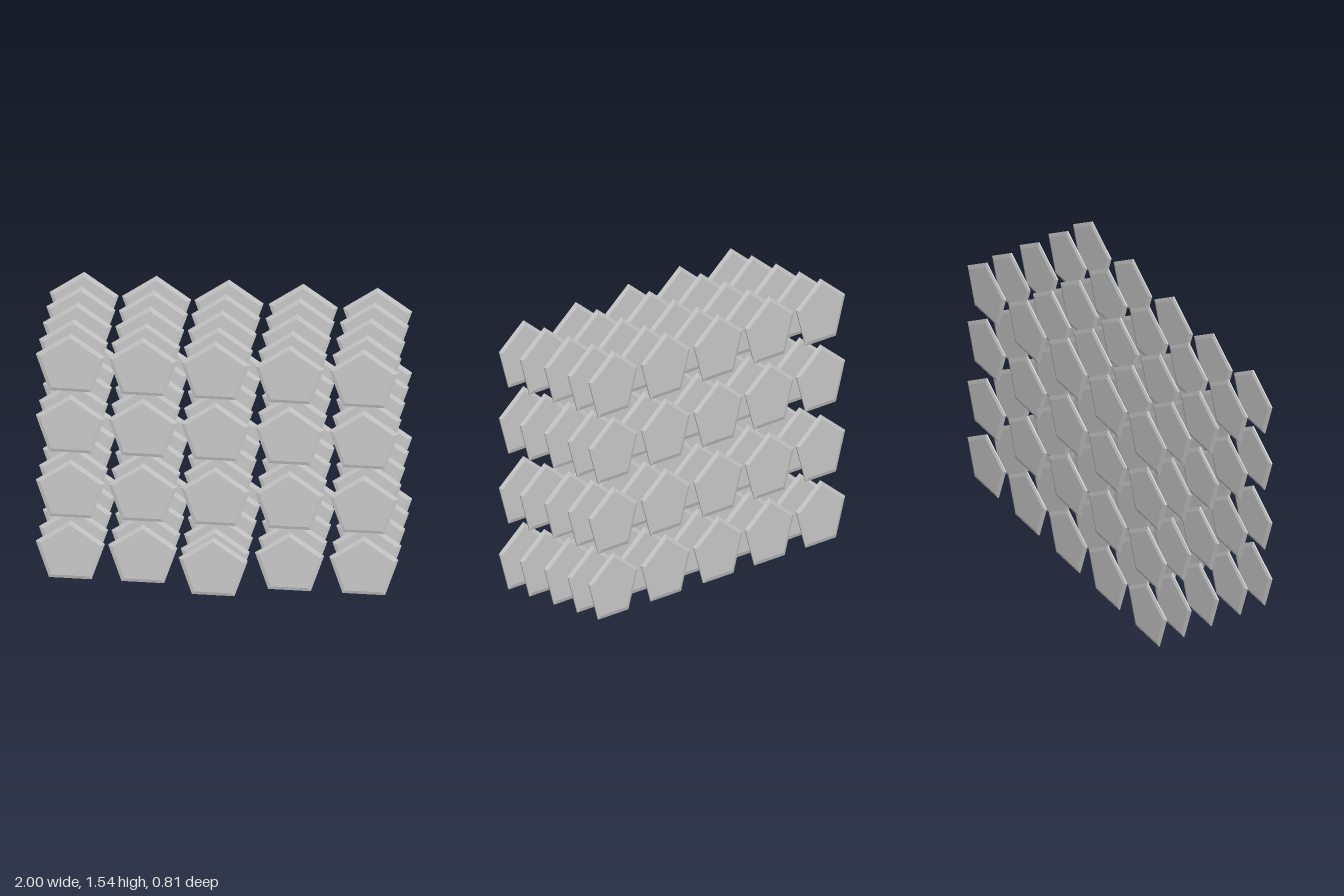
import * as THREE from 'three';

const RADIUS = 0.2;    // pentagon corner radius
const BEVEL = 0.025;   // corner inset of the flat faces
const HALF = 0.009;    // half thickness of the flat middle
const RIM = 0.003;     // half thickness of the outer rim

// Five-sided bevelled plate, one corner up, facing +z
function plateGeometry() {
  const profile = [
    [0, -HALF], [RADIUS - BEVEL, -HALF], [RADIUS, -RIM],
    [RADIUS, RIM], [RADIUS - BEVEL, HALF], [0, HALF],
  ].map(([r, y]) => new THREE.Vector2(r, y));
  const geometry = new THREE.LatheGeometry(profile, 5);
  geometry.rotateX(-Math.PI / 2);
  return geometry;
}

export function createModel() {
  const model = new THREE.Group();
  model.name = 'pentagonPlates';

  const geometry = plateGeometry();
  const material = new THREE.MeshStandardMaterial({ color: 0xcccccc, flatShading: true });
  const lift = RADIUS * Math.cos(Math.PI / 5); // centre height above the bottom edge

  const columns = [-0.81, -0.41, -0.01, 0.4, 0.81];
  const rows = [0, 0.385, 0.793, 1.178];
  const layers = [0.294, 0.133, -0.055, -0.235, -0.396];

  const addPlate = (parent, name, x, bottom, z) => {
    const plate = new THREE.Mesh(geometry, material);
    plate.name = name;
    plate.position.set(x, bottom + lift, z);
    parent.add(plate);
  };

  // Five full layers, each a grid of plates
  layers.forEach((z, k) => {
    const layer = new THREE.Group();
    layer.name = `layer${k + 1}`;
    rows.forEach((y, j) => columns.forEach((x, i) =>
      addPlate(layer, `plateRow${j + 1}Column${i + 1}`, x, y, z)));
    model.add(layer);
  });

  // Single plate standing in front of the bottom row
  addPlate(model, 'frontPlate', columns[2], rows[0], 0.396);

  return model;
}
